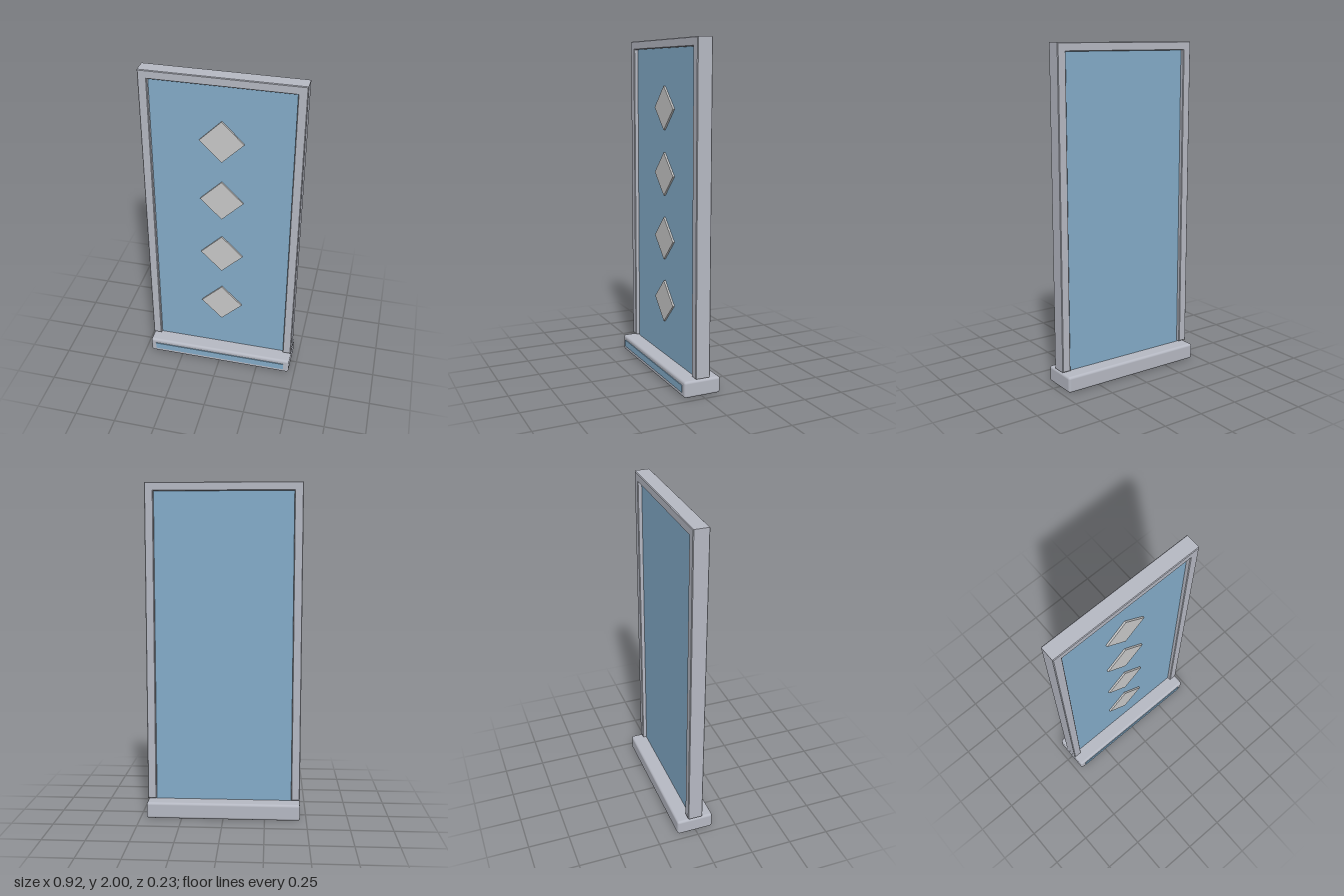
import * as THREE from 'three';
import { RoundedBoxGeometry } from 'three/addons/geometries/RoundedBoxGeometry.js';

const material = (name, color) => {
  const m = new THREE.MeshStandardMaterial({ color });
  m.name = name;
  return m;
};

export function createModel() {
  const group = new THREE.Group();
  const metal = material('grey metal', 0xb5b8c2);
  const glass = material('blue glass', 0x83abc8);
  const pale = material('pale grey', 0xc8c8c8);
  const zMid = -0.004;

  const add = (name, geometry, mat, x, y, z) => {
    const mesh = new THREE.Mesh(geometry, mat);
    mesh.name = name;
    mesh.position.set(x, y, z);
    group.add(mesh);
    return mesh;
  };

  // Rounded foot with a coloured strip along its front
  add('base', new RoundedBoxGeometry(0.924, 0.098, 0.228, 3, 0.015), metal, 0, 0.049, zMid);
  add('baseStrip', new THREE.BoxGeometry(0.856, 0.042, 0.008), glass, 0, 0.05, 0.111);

  // Inverted U frame with finely bevelled edges
  const outline = [
    [-0.462, 0.105], [-0.41, 0.105], [-0.41, 1.95], [0.41, 1.95],
    [0.41, 0.105], [0.462, 0.105], [0.462, 2], [-0.462, 2],
  ].map(([x, y]) => new THREE.Vector2(x, y));
  const bevel = 0.004;
  const depth = 0.092;
  const frame = new THREE.ExtrudeGeometry(new THREE.Shape(outline), {
    depth: depth - 2 * bevel, bevelEnabled: true, bevelSegments: 1,
    bevelThickness: bevel, bevelSize: bevel, bevelOffset: -bevel,
  });
  add('frame', frame, metal, 0, 0, zMid - depth / 2 + bevel);

  // Pane, recessed on both faces
  add('pane', new THREE.BoxGeometry(0.824, 1.862, 0.042), glass, 0, 1.022, zMid);

  // Column of diamonds on the front of the pane
  for (const y of [0.44, 0.829, 1.217, 1.606]) {
    const diamond = add('diamond', new THREE.BoxGeometry(0.182, 0.182, 0.012), pale, 0, y, 0.022);
    diamond.rotation.z = Math.PI / 4;
  }
  return group;
}
